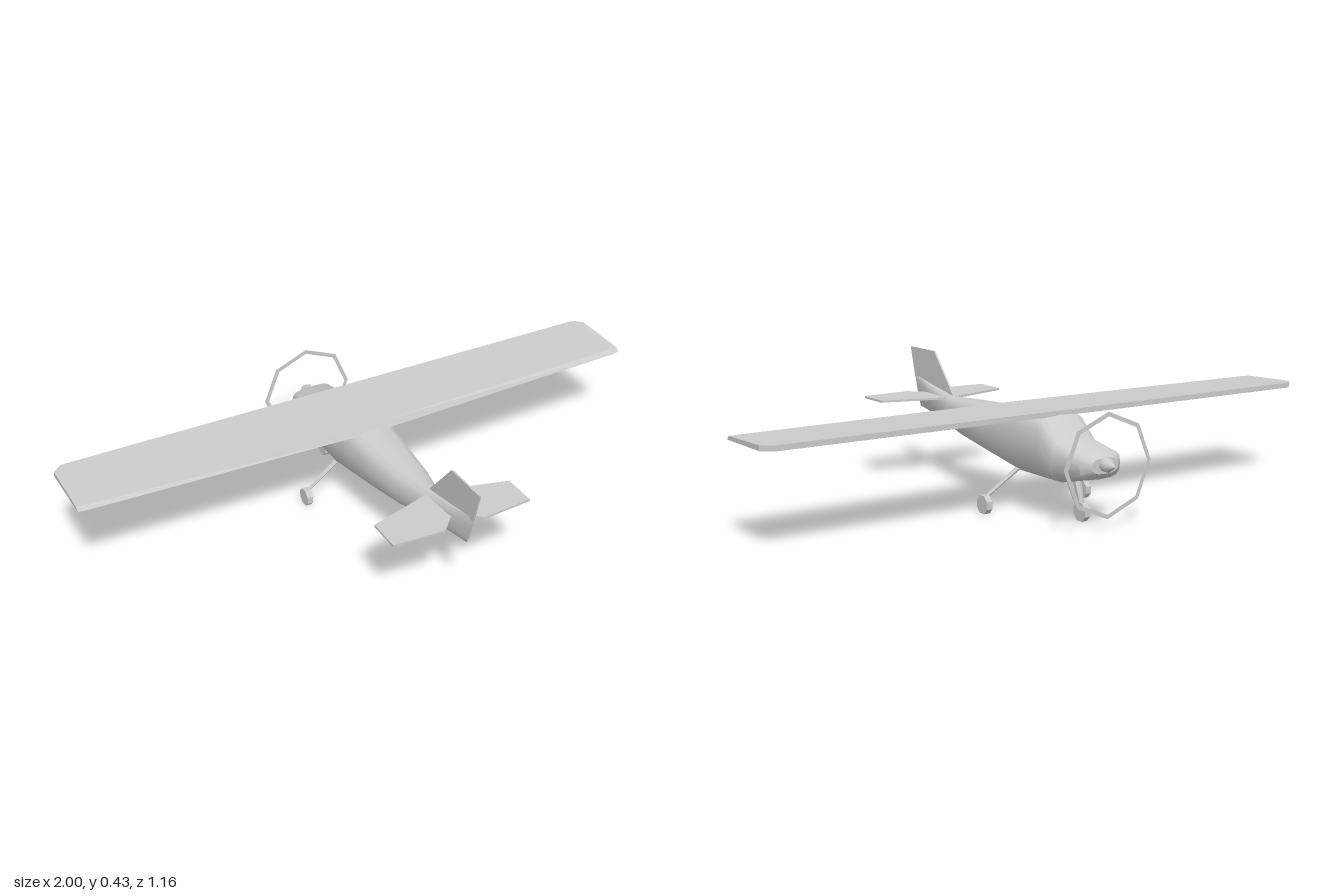
import * as THREE from 'three';
import { toCreasedNormals } from 'three/addons/utils/BufferGeometryUtils.js';

const material = new THREE.MeshStandardMaterial({ color: 0xcccccc });
const flat = new THREE.MeshStandardMaterial({ color: 0xcccccc, flatShading: true });

// Skin between closed rings of points, capped at both ends
function loft(rings) {
  const n = rings[0].length, last = (rings.length - 1) * n, index = [];
  for (let i = 0; i < rings.length - 1; i++) {
    for (let j = 0; j < n; j++) {
      const a = i * n + j, b = i * n + (j + 1) % n;
      index.push(a, b, b + n, a, b + n, a + n);
    }
  }
  for (let j = 1; j < n - 1; j++) {
    index.push(0, j + 1, j, last, last + j, last + j + 1);
  }
  const geo = new THREE.BufferGeometry();
  geo.setAttribute('position', new THREE.Float32BufferAttribute(rings.flat(2), 3));
  geo.setIndex(index);
  geo.computeVertexNormals();
  return geo;
}

// Thin plate from an outline, centred on its thickness
function plate(points, thickness) {
  const shape = new THREE.Shape(points.map(([x, y]) => new THREE.Vector2(x, y)));
  const geo = new THREE.ExtrudeGeometry(shape, { depth: thickness, bevelEnabled: false });
  return geo.translate(0, 0, -thickness / 2);
}

// Tapered strut between two points
function strut(from, to, r0, r1) {
  const a = new THREE.Vector3(...from), b = new THREE.Vector3(...to);
  const dir = b.clone().sub(a);
  const geo = new THREE.CylinderGeometry(r1, r0, dir.length(), 6);
  geo.applyQuaternion(new THREE.Quaternion().setFromUnitVectors(
    new THREE.Vector3(0, 1, 0), dir.normalize()));
  const mid = a.add(b).multiplyScalar(0.5);
  return geo.translate(mid.x, mid.y, mid.z);
}

export function createModel() {
  const model = new THREE.Group();
  const add = (name, geo, mat = flat) => {
    const mesh = new THREE.Mesh(geo, mat);
    mesh.name = name;
    model.add(mesh);
    return mesh;
  };

  // Fuselage stations: z, bottom, top, half width, squareness, backward lean
  const stations = [
    [-0.535, 0.168, 0.217, 0.05, 0.75, 0],
    [-0.51, 0.147, 0.233, 0.077, 0.65, 0],
    [-0.39, 0.118, 0.252, 0.09, 0.6, 0],
    [-0.315, 0.117, 0.318, 0.097, 0.6, 0],
    [-0.18, 0.117, 0.32, 0.097, 0.6, 0],
    [-0.06, 0.135, 0.306, 0.088, 0.62, 0],
    [0.05, 0.149, 0.297, 0.079, 0.68, 0],
    [0.19, 0.166, 0.292, 0.062, 0.75, 0],
    [0.3, 0.183, 0.287, 0.036, 0.8, 0],
    [0.42, 0.204, 0.31, 0.022, 0.85, 0.015],
    [0.538, 0.222, 0.335, 0.003, 0.9, 0.018],
  ];
  const power = (v, p) => Math.sign(v) * Math.abs(v) ** p;
  const rings = stations.map(([z, bottom, top, w, p, lean]) =>
    Array.from({ length: 16 }, (_, j) => {
      const a = j / 16 * Math.PI * 2, c = power(Math.cos(a), p), s = power(Math.sin(a), p);
      return [w * c, (top + bottom) / 2 + s * (top - bottom) / 2, z + lean * s];
    }));
  add('fuselage', toCreasedNormals(loft(rings), 0.7), material);

  // Wing sections: x, leading z, trailing z, trailing underside y
  const wingStations = [
    [-1, -0.29, -0.077, 0.309], [-0.97, -0.318, -0.074, 0.308], [0, -0.318, -0.053, 0.295],
    [0.97, -0.318, -0.074, 0.308], [1, -0.29, -0.077, 0.309],
  ];
  add('wing', loft(wingStations.map(([x, front, back, under]) => [
    [x, 0.328, front], [x, 0.321, back - 0.012], [x, under, back], [x, 0.311, front],
  ])));

  // Tail surfaces
  const fin = add('tailFin', plate(
    [[0.3, 0.284], [0.425, 0.428], [0.582, 0.428], [0.552, 0.32]], 0.006));
  fin.geometry.rotateY(-Math.PI / 2);
  const half = [[0, 0.318], [0.03, 0.32], [0.24, 0.38], [0.24, 0.495], [0.068, 0.507], [0.018, 0.455], [0, 0.455]];
  const outline = [...half, ...half.slice(1, -1).reverse().map(([x, z]) => [-x, z])];
  const stabilizer = add('stabilizer', plate(outline, 0.007));
  stabilizer.geometry.rotateX(Math.PI / 2);
  stabilizer.position.y = 0.279;

  // Spinner and thin octagonal propeller ring
  const spinner = new THREE.LatheGeometry(
    [[0.022, 0], [0.022, 0.02], [0.012, 0.035], [0, 0.05]].map(p => new THREE.Vector2(...p)), 10);
  spinner.rotateX(-Math.PI / 2).translate(0, 0.196, -0.532);
  add('spinner', spinner, new THREE.MeshStandardMaterial({ color: 0xcccccc, side: THREE.DoubleSide }));
  const circle = r => Array.from({ length: 8 }, (_, i) => new THREE.Vector2(
    r * Math.sin(i * Math.PI / 4), r * Math.cos(i * Math.PI / 4)));
  const ring = new THREE.Shape(circle(0.163));
  ring.holes.push(new THREE.Path(circle(0.149)));
  add('propellerRing', new THREE.ExtrudeGeometry(ring, { depth: 0.003, bevelEnabled: false }))
    .position.set(0, 0.195, -0.55);

  // Landing gear: octagonal wheels on tapered legs
  const wheel = (name, x, z, r) => {
    const geo = new THREE.CylinderGeometry(r, r, 0.02, 8).rotateY(Math.PI / 8).rotateZ(Math.PI / 2);
    add(name, geo).position.set(x, 0.03, z);
  };
  for (const [side, s] of [['left', 1], ['right', -1]]) {
    wheel(side + 'MainWheel', s * 0.193, -0.178, 0.031);
    add(side + 'MainLeg', strut([s * 0.07, 0.133, -0.186], [s * 0.19, 0.052, -0.178], 0.008, 0.006));
  }
  wheel('noseWheel', 0, -0.424, 0.031);
  add('noseLeg', strut([0, 0.132, -0.394], [0, 0.04, -0.424], 0.014, 0.009));
  return model;
}
